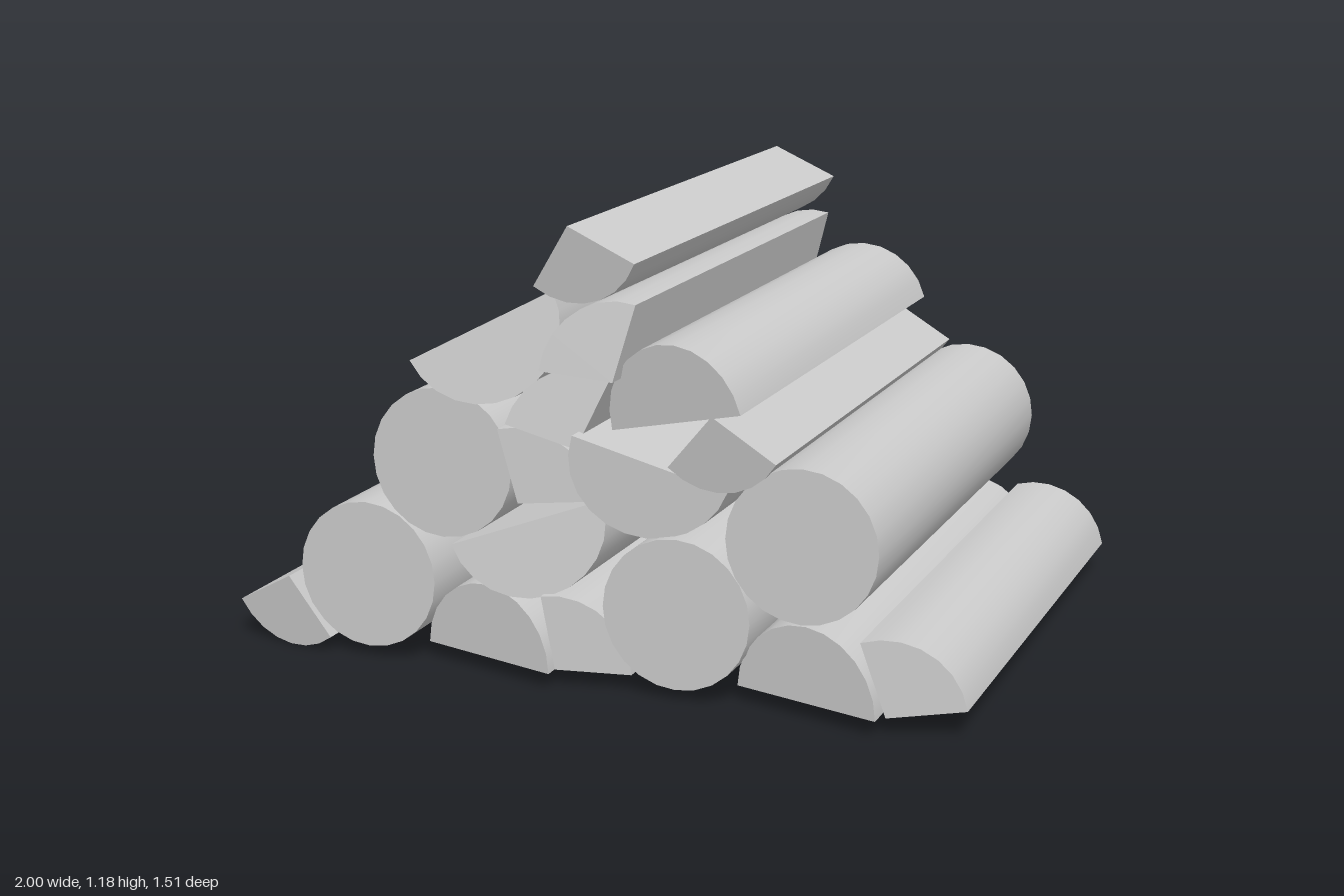
import * as THREE from 'three';
import { toCreasedNormals } from 'three/addons/utils/BufferGeometryUtils.js';

const R = 0.195;
const BACK = -0.755;

// One log: a sector of the given sweep, extruded along z.
// The front end is cut at a slant: z = front + slope * x.
function logGeometry(sweepDeg, segments, front, slope) {
  const whole = sweepDeg === 360;
  const sweep = THREE.MathUtils.degToRad(sweepDeg);
  const points = sweepDeg < 180 ? [new THREE.Vector2(0, 0)] : [];
  for (let i = 0; i < segments + (whole ? 0 : 1); i++) {
    const a = (sweep * i) / segments;
    points.push(new THREE.Vector2(R * Math.cos(a), R * Math.sin(a)));
  }
  const geometry = new THREE.ExtrudeGeometry(new THREE.Shape(points), {
    depth: 1, bevelEnabled: false, steps: 1,
  });
  const p = geometry.attributes.position;
  for (let i = 0; i < p.count; i++) {
    p.setZ(i, p.getZ(i) > 0.5 ? front + slope * p.getX(i) : BACK);
  }
  return toCreasedNormals(geometry, 0.6);
}

// Position of each log's axis in the pile and its roll in degrees: [x, y, roll]
const WHOLE = [
  [-0.604, 0.225, 0], [-0.38, 0.548, 0], [0.257, 0.225, 0], [0.583, 0.438, 0],
];
const HALF = [
  [-0.26, 0.045, 0], [0.597, 0.045, 0], [-0.145, 0.418, 199],
  [0.19, 0.604, 160], [-0.262, 0.912, 208], [0.257, 0.714, 14.5],
];
const QUARTER = [
  [-0.83, 0.198, 209], [-0.064, 0.045, 0], [0.807, 0.043, 9.5],
  [0.358, 0.743, 229], [0.1, 0.803, 76], [0, 0.626, 66],
  [-0.16, 0.47, 5], [-0.016, 1.18, 236],
];

export function createModel() {
  const model = new THREE.Group();
  model.name = 'firewoodPile';
  const material = new THREE.MeshStandardMaterial({ color: 0xcccccc });

  const stack = (name, geometry, places) => {
    places.forEach(([x, y, roll], i) => {
      const log = new THREE.Mesh(geometry, material);
      log.name = `${name}${i + 1}`;
      log.position.set(x, y, 0);
      log.rotation.z = THREE.MathUtils.degToRad(roll);
      model.add(log);
    });
  };

  // Round logs, split halves and split quarters
  stack('roundLog', logGeometry(360, 24, 0.7, 0), WHOLE);
  stack('halfLog', logGeometry(180, 12, 0.7, 0.27), HALF);
  stack('quarterLog', logGeometry(100, 7, 0.717, -0.18), QUARTER);
  return model;
}
